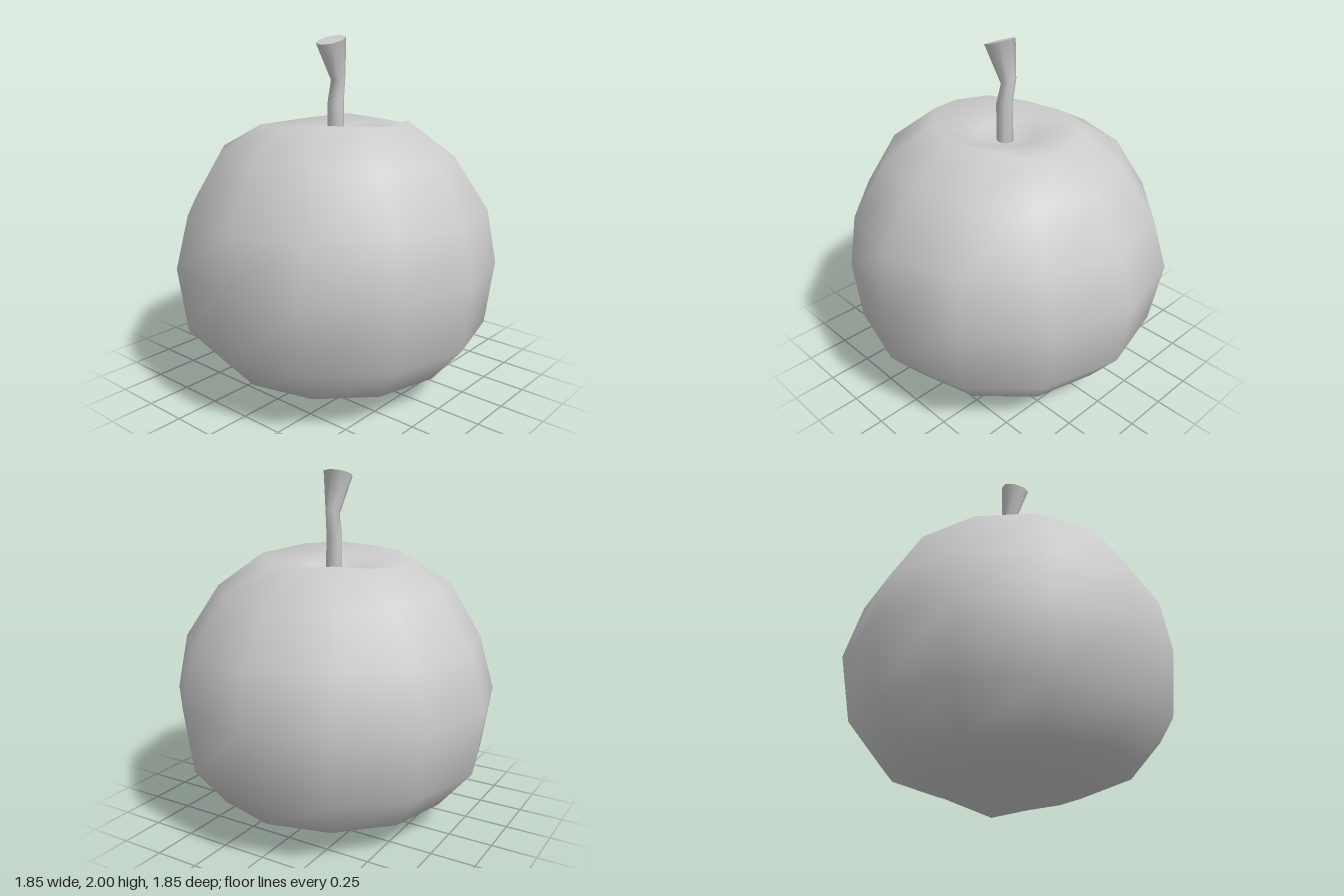
import * as THREE from 'three';

const SIDES = 12;

// Skin a list of rings (bottom to top), each an array of [x, y, z] running from +x toward +z.
// The two poles close the ends.
function skin(rings, bottom, top) {
  const n = rings[0].length;
  const points = [...rings.flat(), bottom, top];
  const low = rings.length * n, high = low + 1;
  const index = [];
  for (let i = 0; i < n; i++) {
    const j = (i + 1) % n;
    for (let k = 0; k < rings.length - 1; k++) {
      const a = k * n + i, b = k * n + j, c = a + n, d = b + n;
      index.push(a, c, b, b, c, d);
    }
    const last = (rings.length - 1) * n;
    index.push(low, i, j, last + i, high, last + j);
  }
  const geometry = new THREE.BufferGeometry();
  geometry.setAttribute('position', new THREE.Float32BufferAttribute(points.flat(), 3));
  geometry.setIndex(index);
  geometry.computeVertexNormals();
  return geometry;
}

// Ring with separate x and z radii, a centre, and a height per angle
function ring(n, rx, rz, cx, cz, height) {
  return Array.from({ length: n }, (_, i) => {
    const a = (i / n) * Math.PI * 2;
    return [cx + rx * Math.cos(a), height(i, a), cz + rz * Math.sin(a)];
  });
}

export function createModel() {
  const group = new THREE.Group();
  const material = new THREE.MeshStandardMaterial({ color: 0xcccccc });

  // Uneven lower and upper rims of the fruit, by side
  const foot = [0.07, 0, 0.04, 0.045, 0.04, 0.03, 0.03, 0.04, 0.05, 0.045, 0.05, 0.06];
  const shoulder = [1.5, 1.5, 1.54, 1.53, 1.55, 1.56, 1.54, 1.53, 1.5, 1.49, 1.5, 1.52];

  // Fruit body: [radius, height, centre x, centre z]
  const profile = [
    [0.69, 0.165, 0, 0.01],
    [0.875, 0.385, -0.01, 0.01],
    [0.925, 0.75, 0, 0],
    [0.855, 1.055, -0.01, 0.02],
    [0.665, 1.36, -0.01, 0.015],
  ];
  const bodyRings = [
    ring(SIDES, 0.16, 0.16, 0, 0, () => 0.11),
    ring(SIDES, 0.41, 0.39, 0, 0, (i) => foot[i]),
    ...profile.map(([r, y, cx, cz]) =>
      ring(SIDES, r, r, cx, cz, (i, a) => y - (y > 1.3 ? 0.02 * Math.cos(a) : 0))),
    ring(SIDES, 0.43, 0.41, -0.01, 0, (i) => shoulder[i]),
    ring(SIDES, 0.17, 0.17, 0, 0, () => 1.46),
  ];
  const body = new THREE.Mesh(skin(bodyRings, [0, 0.15, 0], [0, 1.41, 0]), material);
  body.name = 'fruitBody';
  group.add(body);

  // Stem: bent and flaring, with a slanted cut end
  // [x radius, z radius, centre x, centre z, height, slant]
  const stemRings = [
    [0.045, 0.05, -0.01, 0.015, 1.38, 0],
    [0.045, 0.045, -0.013, 0.015, 1.64, 0],
    [0.042, 0.04, 0.013, 0.01, 1.77, 0.02],
    [0.08, 0.085, -0.05, 0.012, 1.975, 0.025],
  ].map(([rx, rz, cx, cz, y, slant]) =>
    ring(8, rx, rz, cx, cz, (i, a) => y + slant * Math.cos(a)));
  const stem = new THREE.Mesh(skin(stemRings, [-0.01, 1.38, 0.015], [-0.05, 1.975, 0.012]), material);
  stem.name = 'stem';

  // Separate flat cap keeps the cut edge sharp
  const sharp = stem.geometry.toNonIndexed();
  const pos = sharp.attributes.position, normal = sharp.attributes.normal;
  const a = new THREE.Vector3(), b = new THREE.Vector3(), c = new THREE.Vector3();
  const radial = new THREE.Vector3();
  for (let t = 0; t < pos.count; t += 3) {
    [a, b, c].forEach((v, k) => v.fromBufferAttribute(pos, t + k));
    const face = b.clone().sub(a).cross(c.clone().sub(a)).normalize();
    const isCap = Math.abs(face.y) > 0.8;
    for (let k = 0; k < 3; k++) {
      if (isCap) normal.setXYZ(t + k, face.x, face.y, face.z);
      else if (pos.getY(t + k) > 1.9) {
        radial.set(pos.getX(t + k) + 0.05, -0.02, pos.getZ(t + k) - 0.012).normalize();
        normal.setXYZ(t + k, radial.x, radial.y, radial.z);
      }
    }
  }
  stem.geometry = sharp;
  group.add(stem);

  return group;
}
